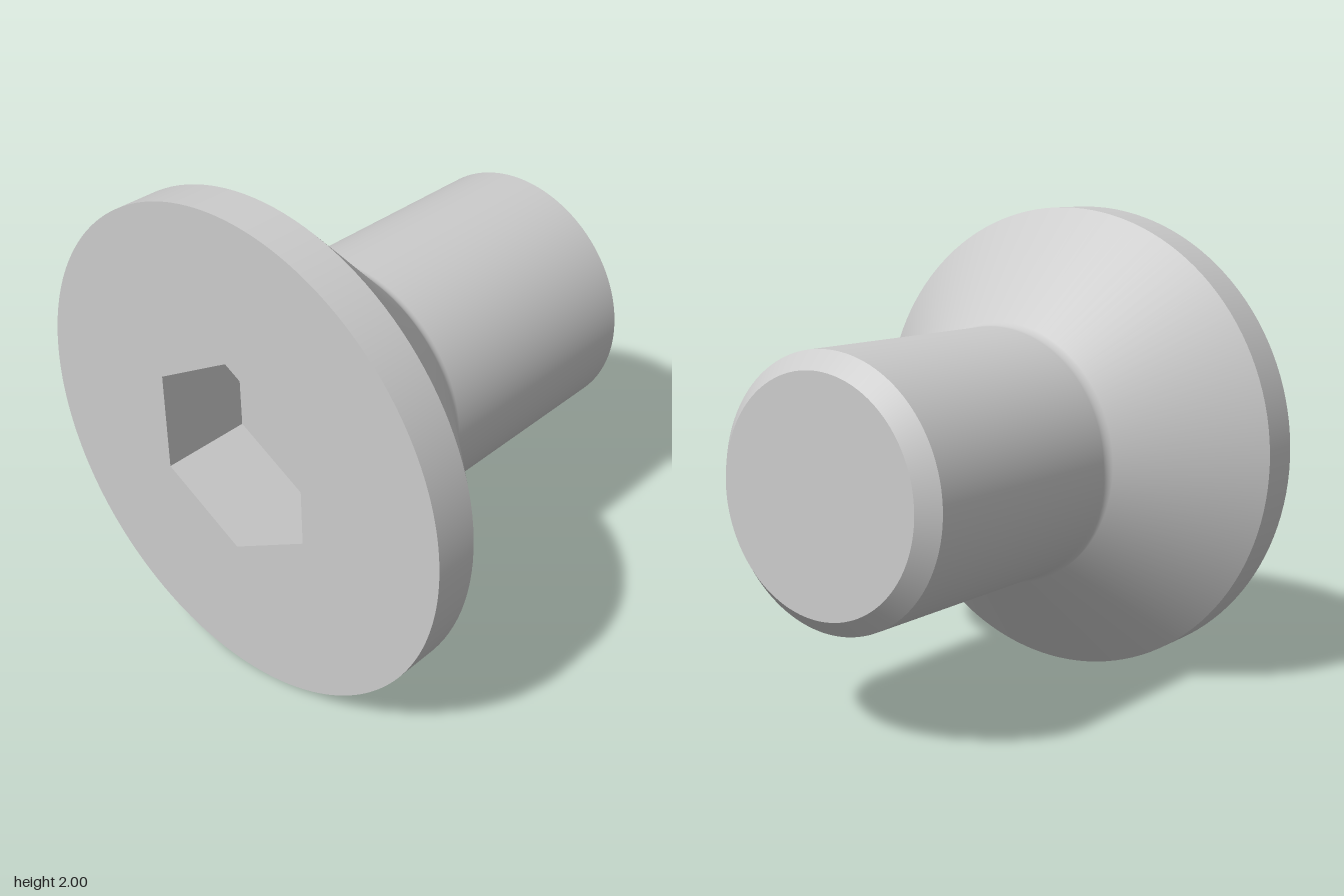
import * as THREE from 'three';

const SEG = 128;
const HEAD_X = -0.88, TIP_X = 0.88;    // ends along the screw axis
const HEAD_R = 1, SHANK_R = 0.53, TIP_R = 0.46;
const HEX_R = 0.413, HEX_DEPTH = 0.385;

export function createModel() {
  const model = new THREE.Group();
  model.name = 'countersunkScrew';
  const smooth = new THREE.MeshStandardMaterial({ color: 0xcccccc });
  const faceted = new THREE.MeshStandardMaterial({ color: 0xcccccc, flatShading: true });

  const add = (name, geometry, material = smooth) => {
    const mesh = new THREE.Mesh(geometry, material);
    mesh.name = name;
    mesh.position.y = HEAD_R;
    model.add(mesh);
  };

  // Profile of [axial x, radius] pairs, spun about the x axis
  const spin = (profile, segments = SEG, start = 0) =>
    new THREE.LatheGeometry(profile.map(([x, r]) => new THREE.Vector2(r, x)), segments, start)
      .rotateZ(-Math.PI / 2);

  // Head rim
  add('headRim', spin([[HEAD_X, HEAD_R], [-0.7, HEAD_R]]));

  // Cone blending into the shank through a small fillet
  const filletR = 0.06, cornerX = -0.23;
  const endX = cornerX + filletR * Math.tan(Math.PI / 8);
  const body = [[-0.7, HEAD_R]];
  for (let i = 0; i <= 8; i++) {
    const a = (Math.PI / 4) * (1 - i / 8);
    body.push([endX - filletR * Math.sin(a), SHANK_R + filletR * (1 - Math.cos(a))]);
  }
  body.push([0.81, SHANK_R]);
  add('coneAndShank', spin(body));

  // Chamfered tip
  add('tipChamfer', spin([[0.81, SHANK_R], [TIP_X, TIP_R]]));
  add('tipFace', new THREE.CircleGeometry(TIP_R, SEG).rotateY(Math.PI / 2).translate(TIP_X, 0, 0));

  // Flat head face with a hexagonal opening, corners up and down
  const face = new THREE.Shape().absarc(0, 0, HEAD_R, 0, Math.PI * 2);
  const hex = Array.from({ length: 6 }, (_, i) => {
    const a = Math.PI / 2 - (i * Math.PI) / 3;
    return new THREE.Vector2(HEX_R * Math.cos(a), HEX_R * Math.sin(a));
  });
  face.holes.push(new THREE.Path(hex));
  add('headFace', new THREE.ShapeGeometry(face, SEG).rotateY(-Math.PI / 2).translate(HEAD_X, 0, 0));

  // Hex socket: floor and inward-facing walls
  const floorX = HEAD_X + HEX_DEPTH;
  add('hexSocket', spin([[floorX, 0], [floorX, HEX_R], [HEAD_X, HEX_R]], 6, Math.PI / 2), faceted);

  return model;
}
